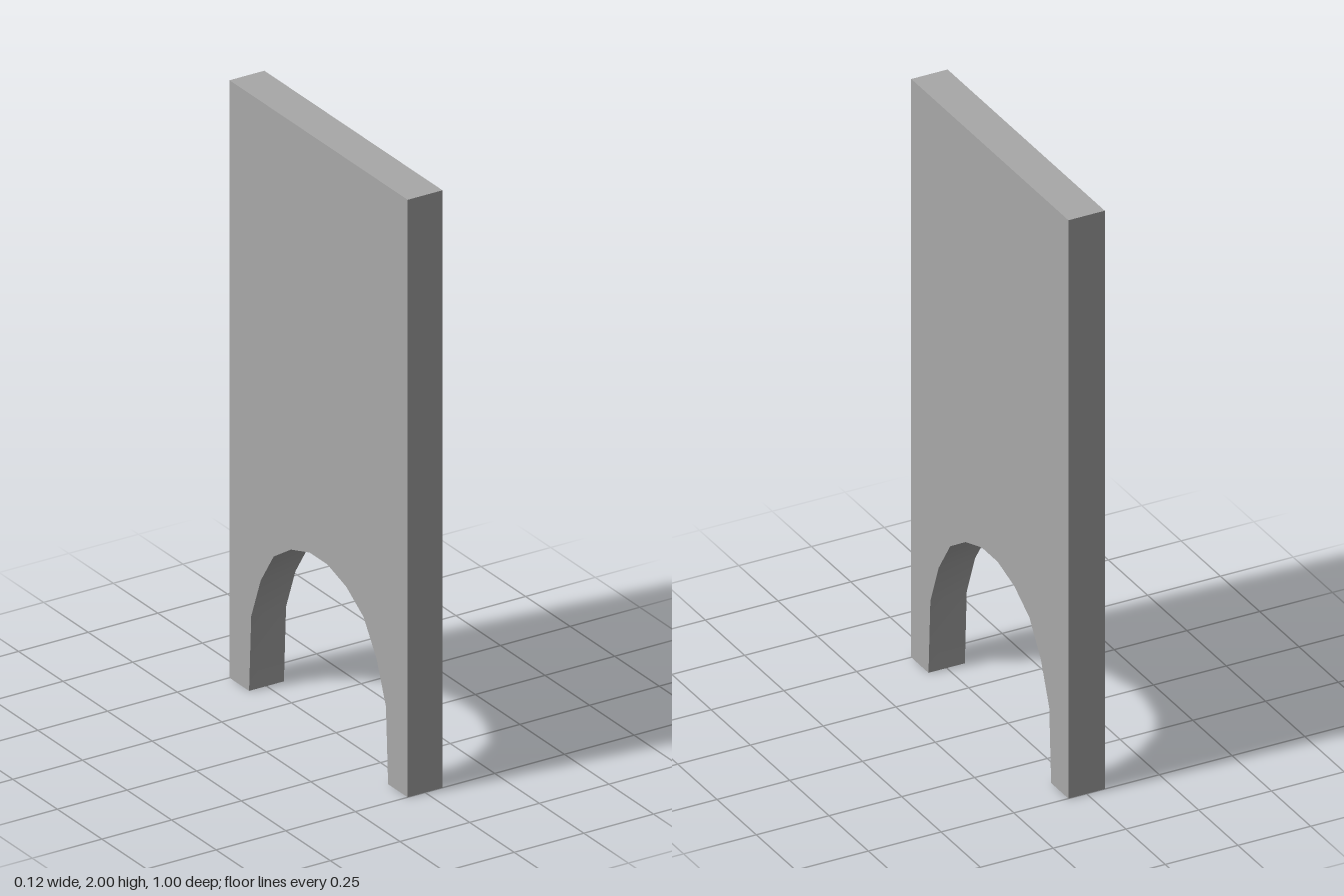
import * as THREE from 'three';
import { toCreasedNormals } from 'three/addons/utils/BufferGeometryUtils.js';

const THICKNESS = 0.125;

// Drops the triangles lying on the ground, leaving the feet open underneath
function openBottom(geometry) {
  const p = geometry.getAttribute('position');
  const kept = [];
  for (let i = 0; i < p.count; i += 3) {
    const corners = [i, i + 1, i + 2];
    if (corners.every((c) => Math.abs(p.getY(c)) < 1e-5)) continue;
    for (const c of corners) kept.push(p.getX(c), p.getY(c), p.getZ(c));
  }
  const open = new THREE.BufferGeometry();
  open.setAttribute('position', new THREE.Float32BufferAttribute(kept, 3));
  return open;
}

export function createModel() {
  const group = new THREE.Group();
  group.name = 'archedPanel';

  const grey = new THREE.MeshStandardMaterial({ color: 0xa8a8a8, side: THREE.DoubleSide });
  grey.name = 'grey';

  // Half of the arch, from foot to crown, mirrored for the other half
  const half = [[0.39, 0], [0.378, 0.255], [0.325, 0.395], [0.252, 0.505], [0.155, 0.567], [0.05, 0.599]];
  const arch = [
    ...half.map(([x, y]) => new THREE.Vector2(-x, y)),
    ...half.slice().reverse().map(([x, y]) => new THREE.Vector2(x, y)),
  ];
  const outline = new THREE.Shape([
    new THREE.Vector2(0.5, 0),
    new THREE.Vector2(0.5, 2),
    new THREE.Vector2(-0.5, 2),
    new THREE.Vector2(-0.5, 0),
    ...arch,
  ]);

  // Upright panel standing on two feet
  const solid = new THREE.ExtrudeGeometry(outline, { depth: THICKNESS, bevelEnabled: false });
  solid.translate(0, 0, -THICKNESS / 2).rotateY(Math.PI / 2);
  const panel = new THREE.Mesh(toCreasedNormals(openBottom(solid), 0.6), grey);
  panel.name = 'panel';
  group.add(panel);

  return group;
}
